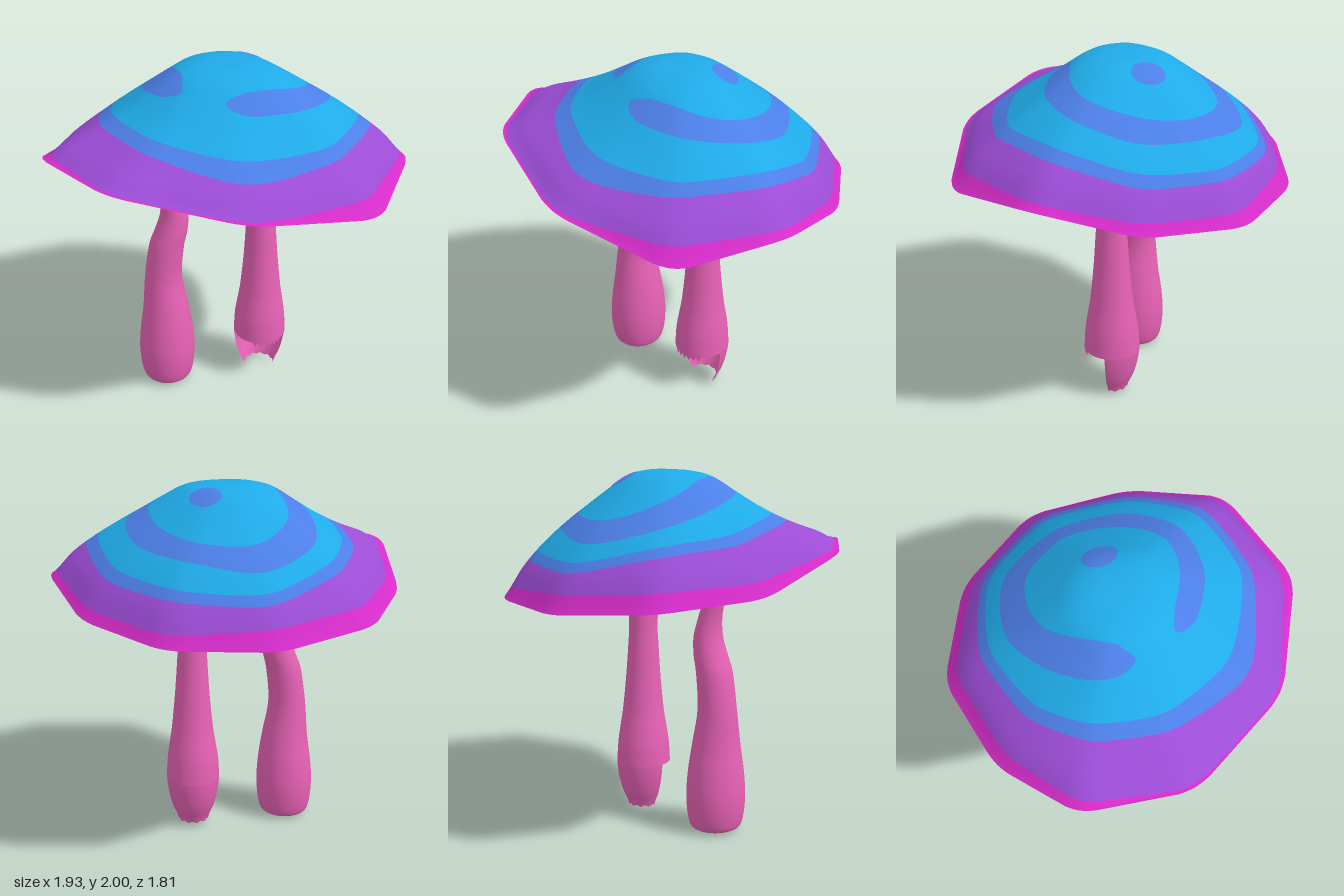
import * as THREE from 'three';

const paint = (name, color, side = THREE.FrontSide) => {
  const m = new THREE.MeshStandardMaterial({ color, side });
  m.name = name;
  return m;
};

// Grid of quads from a point rule; rows run outward or downward, columns run from +x towards +z
function grid(rows, cols, point, closed = true, flip = false) {
  const pos = [], idx = [], w = closed ? cols : cols + 1;
  for (let i = 0; i <= rows; i++) for (let j = 0; j < w; j++) pos.push(...point(i, j));
  for (let i = 0; i < rows; i++) for (let j = 0; j < cols; j++) {
    const k = (j + 1) % w, a = i * w + j, b = i * w + k, c = a + w, d = b + w;
    if (flip) idx.push(a, c, b, b, c, d);
    else idx.push(a, b, c, b, d, c);
  }
  const g = new THREE.BufferGeometry();
  g.setAttribute('position', new THREE.Float32BufferAttribute(pos, 3));
  g.setIndex(idx);
  g.computeVertexNormals();
  return g;
}

// Smooth closed loop of values, one for each rim corner
function loop(values) {
  const c = new THREE.CatmullRomCurve3(values.map(v => new THREE.Vector3(v, 0, 0)), true, 'catmullrom');
  return u => c.getPoint((u % 10) / 10).x;
}
const spline = values => {
  const c = new THREE.SplineCurve(values.map((v, i) => new THREE.Vector2(i, v)));
  return t => c.getPoint(t).y;
};

// Ten corners of the cap rim: x, y, z
const rim = [
  [0.98, 1.50, 0.2], [0.72, 1.425, 0.73], [0.04, 1.53, 0.92], [-0.64, 1.625, 0.72], [-0.98, 1.60, 0.24],
  [-0.9, 1.415, -0.27], [-0.59, 1.36, -0.74], [-0.04, 1.315, -0.92], [0.51, 1.32, -0.78], [0.86, 1.37, -0.33],
];
const softX = loop(rim.map(p => p[0])), softZ = loop(rim.map(p => p[2]));
const straightRim = u => {
  const v = (u + 10) % 10, k = Math.floor(v), f = v - k, a = rim[k], b = rim[(k + 1) % 10];
  return a.map((n, i) => n + (b[i] - n) * f);
};
// Rim with slightly rounded corners
const roundRim = u => {
  const parts = [-0.15, -0.075, 0, 0.075, 0.15].map(d => straightRim(u + d));
  return [0, 1, 2].map(i => parts.reduce((sum, p) => sum + p[i] / 5, 0));
};

const domeHeight = spline([2, 1.997, 1.965, 1.888, 1.806, 1.73, 1.655, 1.575, 1.47]);
const underHeight = spline([1.67, 1.67, 1.65, 1.61, 1.53, 1.51, 1.495, 1.485, 1.47]);

// Point on the cap at corner parameter u and fraction s from the crown to the rim
function capPoint(u, s, under = false) {
  const [hx, hy, hz] = roundRim(u);
  const q = s * s;
  const x = s * (softX(u) * (1 - q) + hx * q), z = s * (softZ(u) * (1 - q) + hz * q);
  const swell = 0.07 * Math.sin(Math.PI * s) * s * Math.max(0, Math.cos(Math.atan2(z, x) - 0.2)) ** 4;
  const y = under ? underHeight(s) + (hy - 1.47) * s ** 2 : domeHeight(s) + (hy - 1.47) * s ** 4 + swell;
  return [x, y, z];
}

// Colour borders, as fractions of the way to the rim
const swirlIn = loop([0.43, 0.32, 0.30, 0.28, 0.24, 0.29, 0.42, 0.55, 0.54, 0.50]);
const swirlOut = loop([0.56, 0.46, 0.42, 0.38, 0.40, 0.48, 0.60, 0.70, 0.65, 0.64]);
const ringIn = loop([0.72, 0.67, 0.66, 0.60, 0.59, 0.66, 0.71, 0.80, 0.79, 0.78]);
const ringOut = loop([0.79, 0.74, 0.79, 0.69, 0.67, 0.73, 0.77, 0.85, 0.84, 0.84]);
const edgeIn = loop([0.96, 0.925, 0.98, 0.98, 0.95, 0.93, 0.925, 0.93, 0.95, 0.955]);

// The swirl tapers to round ends and leaves a gap
function swirl(u, side) {
  const mid = (swirlIn(u) + swirlOut(u)) / 2, half = (swirlOut(u) - swirlIn(u)) / 2;
  const reach = Math.max(0, u < 2.65 ? 2.15 - u : u - 3.2);
  return mid + side * half * Math.sqrt(Math.min(1, reach / 0.45));
}

function buildCap(mat) {
  const cap = new THREE.Group();
  cap.name = 'cap';
  const cols = 200;
  const borders = [() => 0.0001, u => swirl(u, -1), u => swirl(u, 1), ringIn, ringOut, edgeIn, () => 1];
  const rowsPer = [12, 4, 6, 4, 8, 4], colours = [0, 1, 0, 1, 2, 3];

  // Painted dome, one material group per band
  const steps = [];
  rowsPer.forEach((n, b) => {
    for (let r = 0; r < n; r++) steps.push([b, r / n]);
  });
  steps.push([5, 1]);
  const dome = grid(steps.length - 1, cols, (i, j) => {
    const u = j / cols * 10, [b, f] = steps[i];
    const s0 = borders[b](u), s1 = borders[b + 1](u);
    return capPoint(u, s0 + (s1 - s0) * f);
  });
  let start = 0;
  rowsPer.forEach((n, b) => {
    dome.addGroup(start, n * cols * 6, colours[b]);
    start += n * cols * 6;
  });
  const top = new THREE.Mesh(dome, [mat.cyan, mat.blue, mat.purple, mat.magenta]);
  top.name = 'capTop';

  // Small oval spot beside the crown
  const spot = new THREE.Mesh(grid(4, 40, (i, j) => {
    const a = j / 40 * Math.PI * 2, f = Math.max(i, 0.01) / 4;
    const p = capPoint(8.3 + 0.62 * f * Math.cos(a), 0.262 + 0.078 * f * Math.sin(a));
    return [p[0], p[1] + 0.004, p[2]];
  }, true, true), mat.blue);
  spot.name = 'capSpot';

  // Hollow underside with a dish of another colour in the middle
  const under = (name, s0, s1, material) => {
    const m = new THREE.Mesh(grid(12, cols, (i, j) =>
      capPoint(j / cols * 10, s0 + (s1 - s0) * i / 12, true), true, true), material);
    m.name = name;
    return m;
  };
  cap.add(top, spot, under('capUnderside', 0.45, 1, mat.magenta), under('gillDish', 0.0001, 0.45, mat.violet));
  return cap;
}

// Stem lofted through [y, x, z, radius] sections from top to bottom
function stem(name, sections, material, rows, adjust = p => p) {
  const [y, x, z, r] = [0, 1, 2, 3].map(k => spline(sections.map(s => s[k])));
  const cols = 64;
  const m = new THREE.Mesh(grid(rows, cols, (i, j) => {
    const t = i / rows, a = j / cols * Math.PI * 2, rad = Math.max(r(t), 0.0005);
    return adjust([x(t) + rad * Math.cos(a), y(t), z(t) + rad * 1.05 * Math.sin(a)], i === rows, j);
  }), material);
  m.name = name;
  return m;
}

export function createModel() {
  const mat = {
    cyan: paint('cyan', 0x20aeec),
    blue: paint('blue', 0x4c7fe8),
    purple: paint('purple', 0x9c4cd6),
    magenta: paint('magenta', 0xd62cca),
    violet: paint('violet', 0x8a0aec),
    pink: paint('pink', 0xe862b6, THREE.DoubleSide),
  };
  const model = new THREE.Group();
  model.name = 'mushroom';
  model.add(buildCap(mat));

  // Bent stem with a rounded foot
  model.add(stem('bentStem', [
    [1.66, -0.31, 0.03, 0.13], [1.55, -0.315, 0.03, 0.088], [1.48, -0.317, 0.03, 0.064], [1.4, -0.317, 0.03, 0.058],
    [1.3, -0.31, 0.03, 0.058], [1.2, -0.29, 0.025, 0.066], [1.1, -0.283, 0.02, 0.08], [1.0, -0.302, 0.02, 0.093],
    [0.9, -0.33, 0.02, 0.1], [0.7, -0.352, 0.02, 0.107], [0.5, -0.343, 0.025, 0.132], [0.35, -0.342, 0.025, 0.153],
    [0.2, -0.343, 0.025, 0.163], [0.06, -0.343, 0.025, 0.15], [0.01, -0.343, 0.025, 0.115], [0, -0.343, 0.025, 0],
  ], mat.pink, 70));

  // Broken stem: hollow, flared under the cap, with a toothed front edge
  model.add(stem('brokenStem', [
    [1.65, 0.2, 0.03, 0.24], [1.55, 0.26, 0.03, 0.14], [1.48, 0.273, 0.03, 0.113], [1.4, 0.268, 0.03, 0.105],
    [1.3, 0.24, 0.025, 0.094], [1.2, 0.214, 0.02, 0.084], [1.1, 0.21, 0.015, 0.08], [1.0, 0.21, 0.015, 0.085],
    [0.8, 0.212, 0.015, 0.098], [0.6, 0.213, 0.015, 0.117], [0.5, 0.213, 0.015, 0.132], [0.4, 0.212, 0.015, 0.146],
    [0.285, 0.213, 0.015, 0.153],
  ], mat.pink, 60, (p, last, j) => {
    if (last && p[2] > 0.05 && p[0] > 0.15 && p[0] < 0.33 && j % 2) p[1] -= 0.03;
    return p;
  }));

  // Back half of the broken foot, tapering down with a slightly ragged end
  const footRadius = spline([0.153, 0.143, 0.122, 0.088]);
  const foot = new THREE.Mesh(grid(12, 32, (i, j) => {
    const t = i / 12, a = Math.PI * (1 + j / 32), r = footRadius(t);
    const ragged = i === 12 ? 0.005 * Math.sin(j * 1.1) : 0;
    return [0.213 + r * Math.cos(a), 0.285 - 0.262 * t + ragged, 0.015 + r * 1.05 * Math.sin(a)];
  }, false), mat.pink);
  foot.name = 'brokenFoot';
  model.add(foot);
  return model;
}
